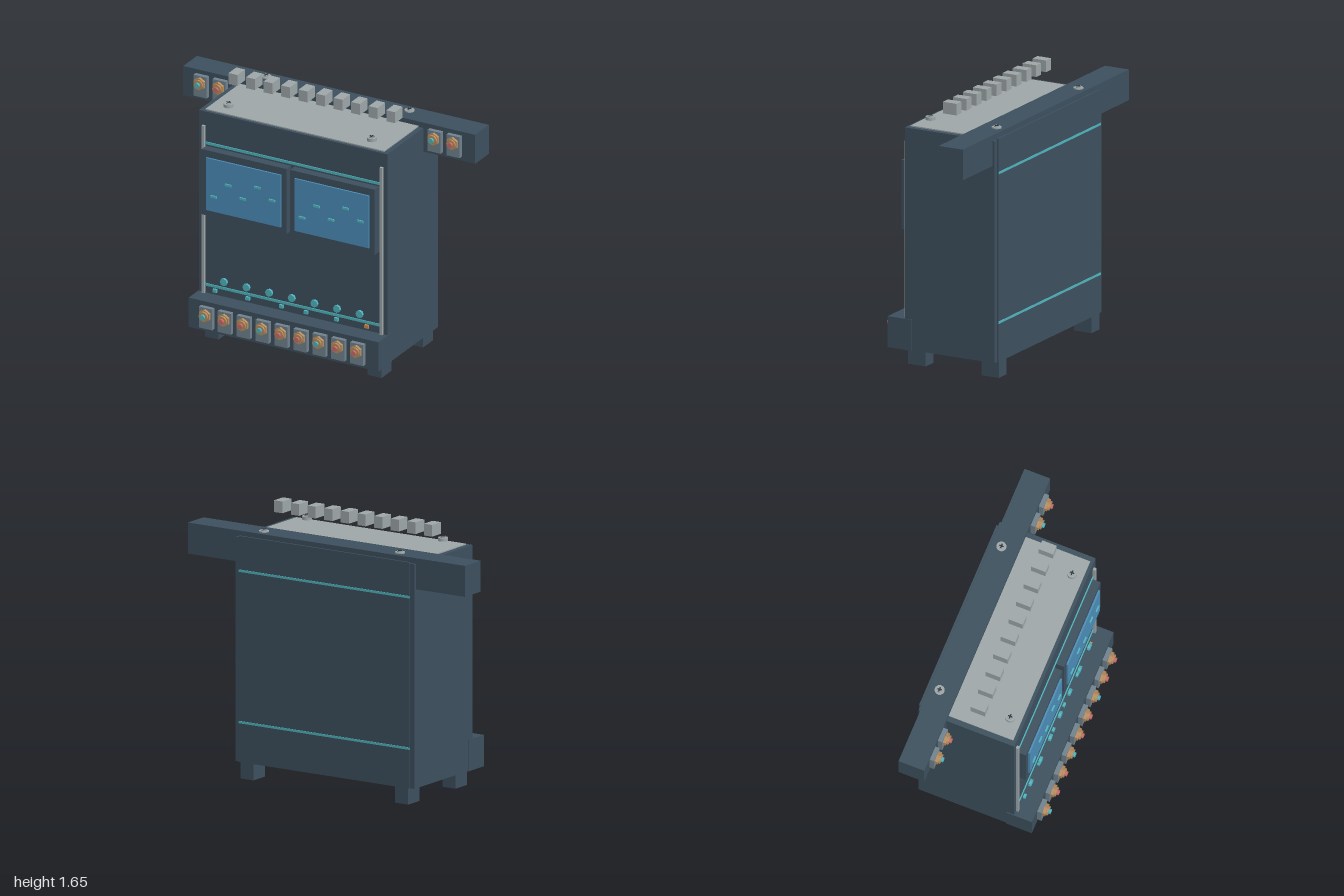
import * as THREE from 'three';

const mat = (name, color) => {
  const m = new THREE.MeshStandardMaterial({ color });
  m.name = name;
  return m;
};

export function createModel() {
  const slate = mat('slate', 0x3c4f5d);
  const grey = mat('lightGrey', 0x9da6a8);
  const plateGrey = mat('plateGrey', 0x6f818c);
  const blue = mat('screenBlue', 0x4a8cb6);
  const teal = mat('teal', 0x4fb3bd);
  const brass = mat('brass', 0xb78d5f);
  const coral = mat('coral', 0xc96a68);
  const orange = mat('orange', 0xc98a48);
  const dark = mat('darkSlot', 0x2a3238);

  const root = new THREE.Group();
  root.name = 'controlCabinet';

  // Box given by its limits on each axis
  const box = (name, m, x0, x1, y0, y1, z0, z1, parent = root) => {
    const mesh = new THREE.Mesh(new THREE.BoxGeometry(x1 - x0, y1 - y0, z1 - z0), m);
    mesh.position.set((x0 + x1) / 2, (y0 + y1) / 2, (z0 + z1) / 2);
    mesh.name = name;
    parent.add(mesh);
    return mesh;
  };
  // Cylinder along z
  const disc = (name, m, r, x, y, z0, z1, sides, parent = root) => {
    const g = new THREE.CylinderGeometry(r, r, z1 - z0, sides).toNonIndexed();
    if (sides < 12) g.computeVertexNormals();
    g.rotateX(Math.PI / 2);
    const mesh = new THREE.Mesh(g, m);
    mesh.position.set(x, y, (z0 + z1) / 2);
    mesh.name = name;
    parent.add(mesh);
    return mesh;
  };

  // Cabinet, back panel, lid
  box('cabinetBody', slate, -0.645, 0.645, 0.1, 1.475, -0.395, 0.22);
  box('backPanel', slate, -0.615, 0.615, 0.1, 1.484, -0.404, -0.392);
  box('lidPlate', grey, -0.612, 0.612, 1.47, 1.482, -0.375, 0.2);
  box('baseLedge', slate, -0.65, 0.65, 0.098, 0.29, 0.17, 0.335);
  box('crossBar', slate, -1, 1, 1.32, 1.51, -0.38, -0.215);

  // Feet and front rails
  for (const s of [-1, 1]) {
    for (const z of [0.16, -0.342]) {
      box('foot', slate, s * 0.558 - 0.047, s * 0.558 + 0.047, 0, 0.1, z - 0.06, z + 0.06);
    }
    box('frontRail', grey, s * 0.61 - 0.009, s * 0.61 + 0.009, 0.29, 1.385, 0.22, 0.237);
  }

  // Accent strips, front and back
  for (const y of [0.345, 1.272]) {
    box('frontStrip', teal, -0.6, 0.6, y - 0.008, y + 0.008, 0.218, 0.226);
    box('backStrip', teal, -0.615, 0.615, y - 0.007, y + 0.007, -0.408, -0.402);
  }

  // Two displays with readout marks
  const marks = [[-0.2, 0.965], [-0.1, 1.062], [0, 0.996], [0.1, 1.093], [0.2, 1.031]];
  for (const x of [-0.305, 0.3]) {
    const display = new THREE.Group();
    display.name = 'display';
    root.add(display);
    box('displayFrame', slate, x - 0.29, x + 0.29, 0.825, 1.252, 0.22, 0.275, display);
    box('displayScreen', blue, x - 0.255, x + 0.255, 0.865, 1.207, 0.274, 0.286, display);
    for (const [dx, y] of marks) {
      box('readoutMark', teal, x + dx - 0.021, x + dx + 0.021, y - 0.007, y + 0.007, 0.287, 0.296, display);
    }
  }

  // Row of knobs and small indicators
  for (let i = 0; i < 7; i++) disc('knob', teal, 0.024, -0.457 + i * 0.155, 0.402, 0.243, 0.259, 8);
  [-0.525, -0.3, -0.07, 0.1, 0.307, 0.515].forEach((x, i) =>
    box('indicator', i === 5 ? orange : teal, x - 0.013, x + 0.013, 0.315, 0.336, 0.232, 0.247));

  // Connector: backing plate, hex nut, collar, coloured tip
  const connector = (x, y, z, tip) => {
    const g = new THREE.Group();
    g.name = 'connector';
    g.position.set(x, y, z);
    root.add(g);
    box('connectorPlate', plateGrey, -0.045, 0.045, -0.09, 0.047, 0, 0.03, g);
    disc('connectorNut', brass, 0.04, 0, 0, 0.03, 0.048, 6, g);
    disc('connectorCollar', brass, 0.03, 0, 0, 0.048, 0.06, 16, g);
    disc('connectorTip', tip, 0.016, 0, 0, 0.06, 0.074, 16, g);
  };
  for (let i = 0; i < 9; i++) connector(-0.52 + i * 0.1295, 0.215, 0.333, i % 3 === 0 ? teal : coral);
  [-0.868, -0.739, 0.735, 0.864].forEach((x, i) =>
    connector(x, 1.437, -0.217, i % 2 ? coral : teal));

  // Cross-head screws on the lid and bar
  for (const x of [-0.492, 0.49]) {
    for (const z of [0.132, -0.322]) {
      const screw = new THREE.Group();
      screw.name = 'screw';
      screw.position.set(x, 1.498, z);
      root.add(screw);
      const head = new THREE.Mesh(new THREE.CylinderGeometry(0.03, 0.03, 0.02, 20), grey);
      head.name = 'screwHead';
      head.position.y = 0.01;
      const cap = new THREE.Mesh(new THREE.CylinderGeometry(0.017, 0.017, 0.008, 20), grey);
      cap.name = 'screwCap';
      cap.position.y = 0.023;
      screw.add(head, cap);
      box('slot', dark, -0.014, 0.014, 0.024, 0.029, -0.004, 0.004, screw);
      box('slot', dark, -0.004, 0.004, 0.024, 0.0288, -0.014, 0.014, screw);
    }
  }

  // Row of blocks above the lid
  for (let i = 0; i < 10; i++) {
    const x = -0.537 + i * 0.12;
    box('topBlock', grey, x - 0.03, x + 0.03, 1.575, 1.647, -0.093, 0);
  }
  return root;
}
